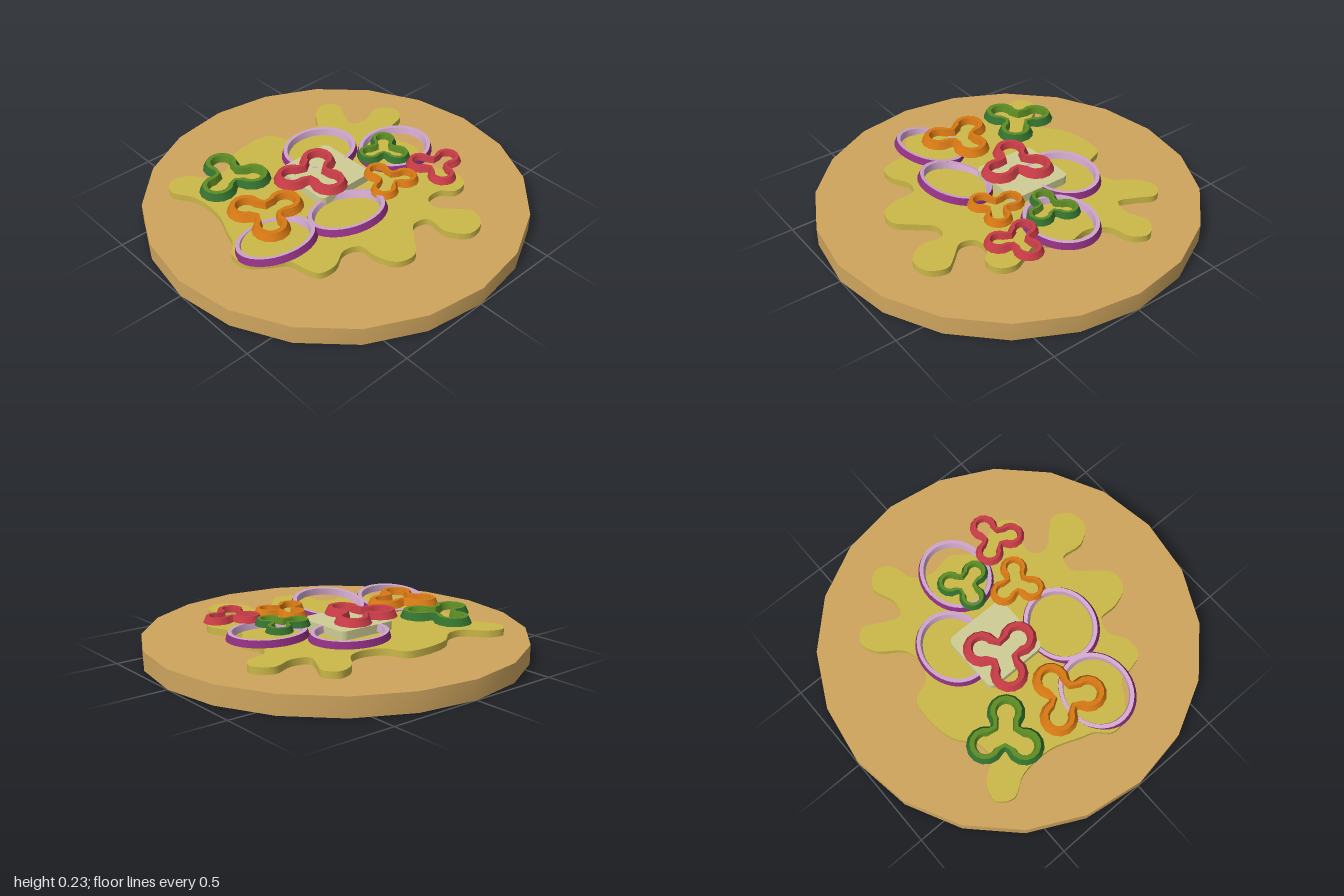
import * as THREE from 'three';
import { toCreasedNormals } from 'three/addons/utils/BufferGeometryUtils.js';

const mat = (name, color, side = THREE.FrontSide) => {
  const m = new THREE.MeshStandardMaterial({ color, side });
  m.name = name;
  return m;
};

// Skin a list of closed loops (arrays of Vector3), joined one after another
function skin(rows, crease = 0.6) {
  const pos = [];
  for (let j = 0; j < rows.length - 1; j++) {
    const lo = rows[j], hi = rows[j + 1], n = lo.length;
    for (let i = 0; i < n; i++) {
      const k = (i + 1) % n;
      for (const p of [lo[i], hi[i], hi[k], lo[i], hi[k], lo[k]]) pos.push(p.x, p.y, p.z);
    }
  }
  const g = new THREE.BufferGeometry();
  g.setAttribute('position', new THREE.Float32BufferAttribute(pos, 3));
  return toCreasedNormals(g, crease);
}

// Oval loop for onion rings
function oval(scale, y) {
  return Array.from({ length: 40 }, (_, i) => {
    const a = (i / 40) * Math.PI * 2;
    return new THREE.Vector3(0.187 * scale * Math.cos(a), y, 0.216 * scale * Math.sin(a));
  });
}

// Three-lobed loop for pepper slices; r is the lobe radius
function trefoil(r, y) {
  const pts = [], d = 0.112, steps = 10, sweep = 2.25;
  for (let lobe = 0; lobe < 3; lobe++) {
    const phi = (lobe * Math.PI * 2) / 3;
    for (let s = 0; s <= steps; s++) {
      const a = phi - sweep + (2 * sweep * s) / steps;
      pts.push(new THREE.Vector3(d * Math.cos(phi) + r * Math.cos(a), y, d * Math.sin(phi) + r * Math.sin(a)));
    }
    const v = phi + Math.PI / 3, valley = r * 0.85 + 0.004;
    pts.push(new THREE.Vector3(valley * Math.cos(v), y, valley * Math.sin(v)));
  }
  return pts;
}

// Flat slab from a shape drawn in x and -z
function slab(shape, y, depth) {
  const g = new THREE.ExtrudeGeometry(shape, { depth, bevelEnabled: false, curveSegments: 6 });
  g.rotateX(-Math.PI / 2).translate(0, y, 0);
  return toCreasedNormals(g, 0.7);
}

export function createModel() {
  const model = new THREE.Group();
  model.name = 'toppedFlatbread';
  const tan = mat('crust tan', 0xcfa55e);
  const yellow = mat('sauce yellow', 0xcbb848);
  const pale = mat('butter pale', 0xcfcd94);
  const purple = mat('onion skin purple', 0x8f2f80);
  const pink = mat('onion flesh pink', 0xcfa6cb);
  const greenSkin = mat('pepper skin green', 0x33702f);
  const green = mat('pepper flesh green', 0x5c8c24);
  const red = mat('pepper red', 0xc83c46);
  const orange = mat('pepper orange', 0xd87914);

  const add = (parent, name, geometry, material) => {
    const m = new THREE.Mesh(geometry, material);
    m.name = name;
    parent.add(m);
    return m;
  };

  // Crust
  add(model, 'crust', toCreasedNormals(new THREE.CylinderGeometry(1, 1, 0.1, 20).translate(0, 0.05, 0), 0.6), tan);

  // Splashed sauce: outline as x, z pairs
  const outline = [
    -0.30, -0.74, -0.22, -0.70, -0.18, -0.58, -0.08, -0.53, 0.05, -0.55, 0.17, -0.47, 0.27, -0.50, 0.36, -0.535,
    0.44, -0.50, 0.45, -0.42, 0.395, -0.36, 0.40, -0.27, 0.47, -0.245, 0.55, -0.31, 0.62, -0.362, 0.71, -0.32,
    0.725, -0.22, 0.63, -0.145, 0.51, -0.15, 0.49, -0.07, 0.57, 0.01, 0.65, 0.09, 0.63, 0.19, 0.53, 0.235,
    0.43, 0.24, 0.40, 0.32, 0.45, 0.42, 0.44, 0.51, 0.37, 0.54, 0.28, 0.56, 0.22, 0.64, 0.15, 0.72,
    0.06, 0.73, -0.01, 0.67, -0.08, 0.645, -0.24, 0.59, -0.42, 0.60, -0.53, 0.66, -0.61, 0.61, -0.59, 0.52,
    -0.49, 0.43, -0.49, 0.34, -0.57, 0.23, -0.60, 0.06, -0.58, -0.04, -0.48, -0.09, -0.44, -0.18, -0.46, -0.28,
    -0.58, -0.38, -0.61, -0.47, -0.55, -0.525, -0.45, -0.48, -0.36, -0.45, -0.335, -0.54, -0.375, -0.66,
  ];
  const pts = [];
  for (let i = 0; i < outline.length; i += 2) pts.push(new THREE.Vector3(outline[i], -outline[i + 1], 0));
  const curve = new THREE.CatmullRomCurve3(pts, true);
  const blob = new THREE.Shape(curve.getPoints(220).slice(0, -1).map((p) => new THREE.Vector2(p.x, p.y)));
  add(model, 'sauce', slab(blob, 0.1, 0.036), yellow);

  // Rounded pat in the middle
  const [x0, x1, y0, y1, c] = [-0.265, 0.085, -0.17, 0.17, 0.035];
  const pat = new THREE.Shape();
  pat.absarc(x1 - c, y1 - c, c, 0, Math.PI / 2);
  pat.absarc(x0 + c, y1 - c, c, Math.PI / 2, Math.PI);
  pat.absarc(x0 + c, y0 + c, c, Math.PI, Math.PI * 1.5);
  pat.absarc(x1 - c, y0 + c, c, Math.PI * 1.5, Math.PI * 2);
  add(model, 'butterPat', slab(pat, 0.135, 0.047), pale);

  // Onion rings: x, y, z, tilt towards +x
  const ringSkin = skin([oval(1, 0), oval(0.95, 0.035)]);
  const ringFlesh = skin([oval(0.95, 0.035), oval(0.85, 0.035), oval(0.81, 0), oval(1, 0)]);
  for (const [x, y, z, tilt] of [
    [0, 0.149, -0.43, 0], [-0.265, 0.147, -0.125, 0],
    [0.235, 0.158, 0.14, 0.21], [0.14, 0.138, 0.52, 0.21],
  ]) {
    const ring = new THREE.Group();
    ring.name = 'onionRing';
    add(ring, 'onionSkin', ringSkin, purple);
    add(ring, 'onionFlesh', ringFlesh, pink);
    ring.position.set(x, y, z);
    ring.rotation.z = tilt;
    model.add(ring);
  }

  // Pepper slices: x, z, size, direction of one lobe in degrees from +x towards +z, colours
  const pepperSkin = skin([trefoil(0.097, 0), trefoil(0.079, 0.038)]);
  const pepperFlesh = skin([trefoil(0.079, 0.038), trefoil(0.055, 0.038), trefoil(0.046, 0), trefoil(0.097, 0)]);
  for (const [x, z, size, angle, skinMat, fleshMat] of [
    [-0.10, 0.07, 1, -6, red, red],
    [-0.01, 0.45, 1, -90, orange, orange],
    [-0.365, 0.40, 1, -48, greenSkin, green],
    [0.0, -0.345, 0.73, -16, greenSkin, green],
    [0.285, -0.45, 0.77, -92, red, red],
    [0.205, -0.18, 0.75, -59, orange, orange],
  ]) {
    const pepper = new THREE.Group();
    pepper.name = 'pepperSlice';
    add(pepper, 'pepperSkin', pepperSkin, skinMat);
    add(pepper, 'pepperFlesh', pepperFlesh, fleshMat);
    pepper.position.set(x, 0.183, z);
    pepper.scale.set(size, size < 1 ? 0.85 : 1, size);
    pepper.rotation.y = -THREE.MathUtils.degToRad(angle);
    model.add(pepper);
  }
  return model;
}
